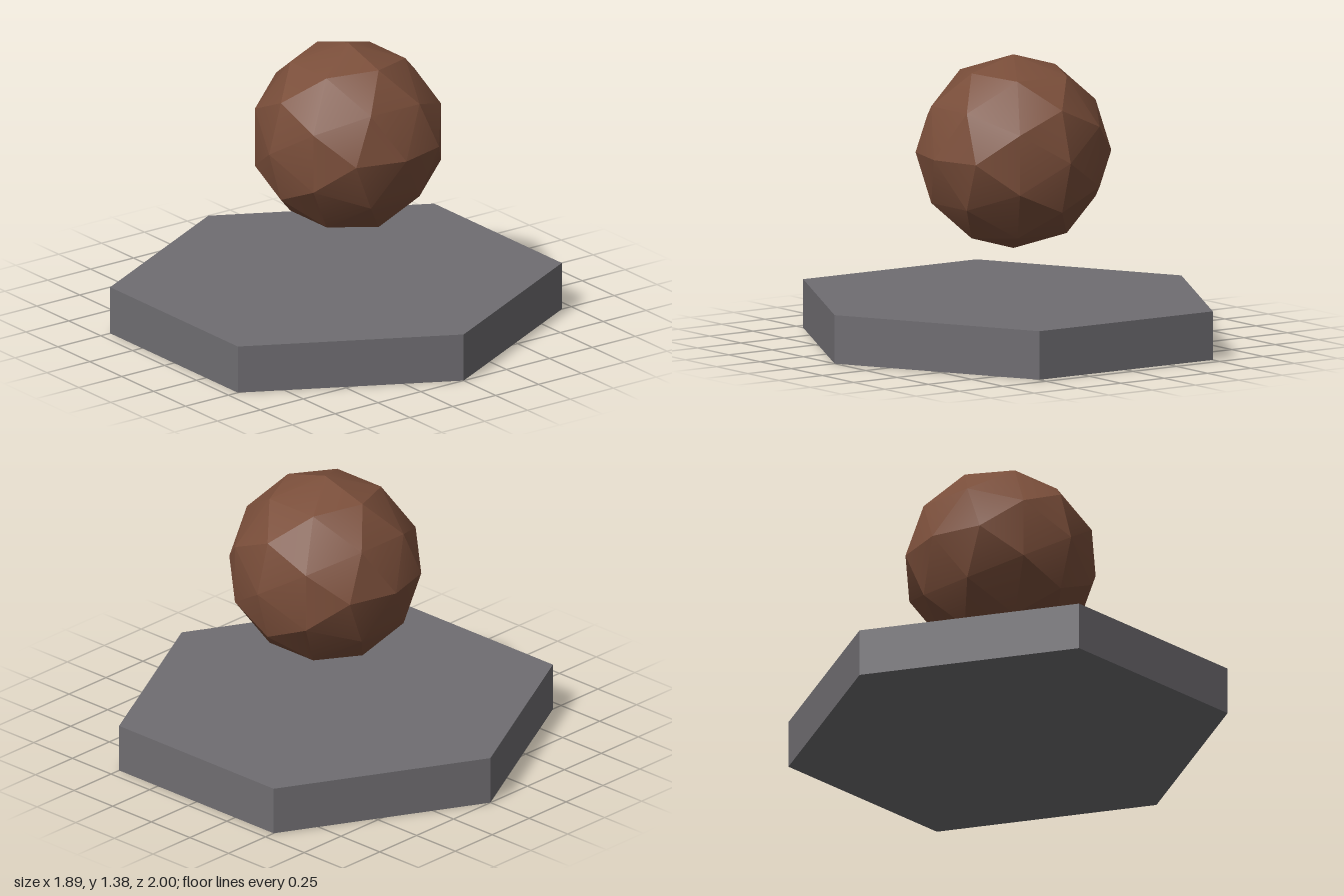
import * as THREE from 'three';
import { toCreasedNormals } from 'three/addons/utils/BufferGeometryUtils.js';

const stone = new THREE.MeshStandardMaterial({ color: 0x6f6d71 });
stone.name = 'stone grey';
const clay = new THREE.MeshStandardMaterial({ color: 0x7a4e3a });
clay.name = 'clay brown';

export function createModel() {
  const model = new THREE.Group();
  model.name = 'ballOverHexagonalBase';

  // Hexagonal slab, points facing front and back, slightly stretched sideways
  const height = 0.23;
  const slab = new THREE.CylinderGeometry(1, 1, height, 6);
  slab.scale(0.945 / Math.cos(Math.PI / 6), 1, 1);
  slab.translate(0, height / 2, 0);
  const base = new THREE.Mesh(toCreasedNormals(slab, 0.3), stone);
  base.name = 'hexagonalBase';
  model.add(base);

  // Floating faceted ball; the 20 degree crease keeps the large triangles' borders sharp
  const sphere = new THREE.IcosahedronGeometry(0.459, 1);
  sphere.rotateY(Math.PI / 2);
  const ball = new THREE.Mesh(toCreasedNormals(sphere, THREE.MathUtils.degToRad(20)), clay);
  ball.name = 'floatingBall';
  ball.position.set(0.06, 0.922, 0.012);
  model.add(ball);

  return model;
}
